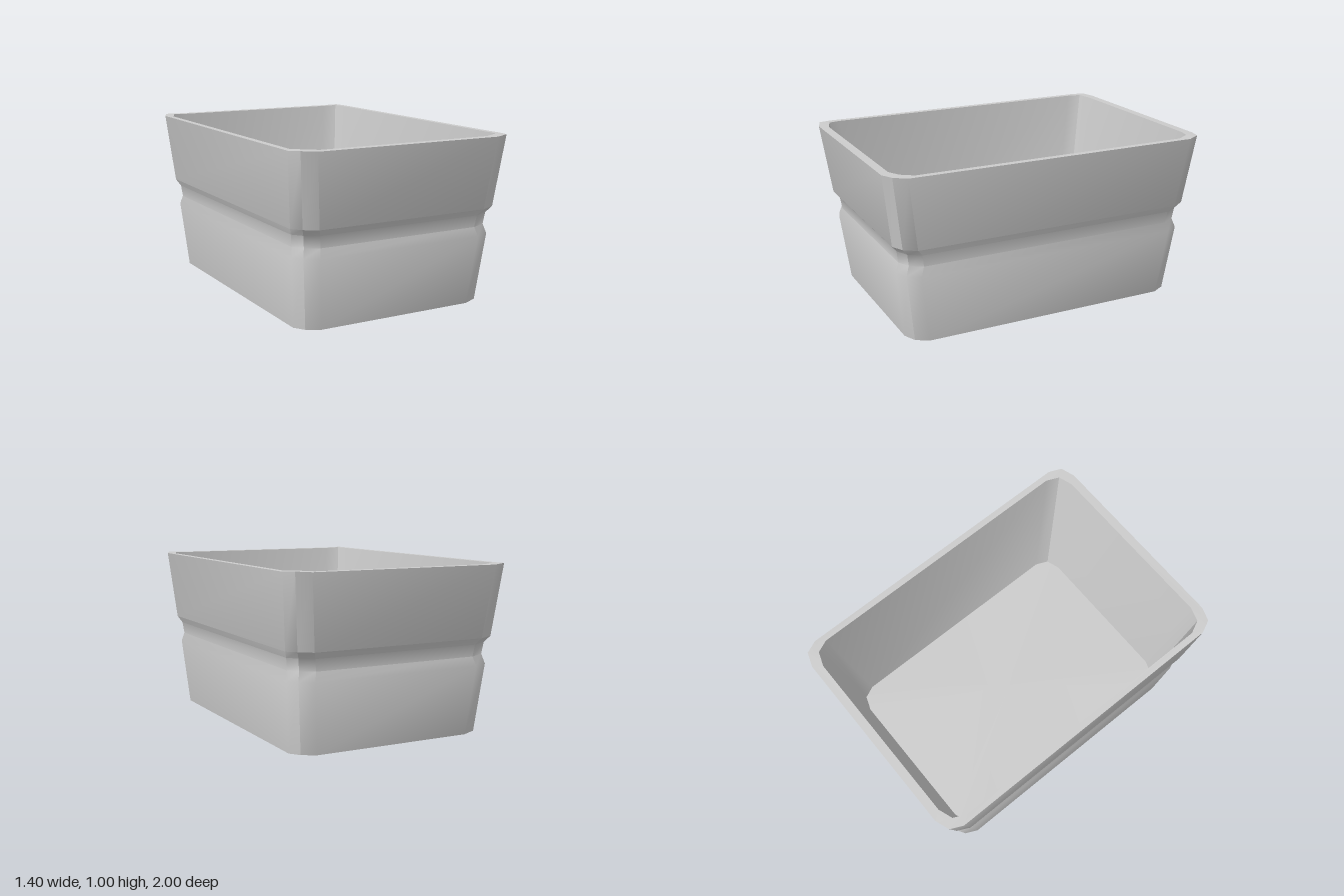
import * as THREE from 'three';
import { toCreasedNormals } from 'three/addons/utils/BufferGeometryUtils.js';

// Twelve-point rounded rectangle, half-width X and half-depth Z, counter-clockwise from above
function ring(X, Z, y) {
  const corner = [[X - 0.12, Z, 0], [X - 0.035, Z - 0.03, 0.005], [X, Z - 0.105, 0]];
  const points = [];
  for (const [sx, sz] of [[1, 1], [1, -1], [-1, -1], [-1, 1]]) {
    const part = corner.map(([x, z, lift]) => [sx * x, y + lift, sz * z]);
    points.push(...(sx * sz > 0 ? part : part.reverse()));
  }
  return points;
}

// Skin consecutive rings and close both ends with a fan
function loft(rings) {
  const n = rings[0].length;
  const positions = rings.flat(2);
  const index = [];
  for (let i = 0; i < rings.length - 1; i++) {
    for (let j = 0; j < n; j++) {
      const a = i * n + j, b = i * n + (j + 1) % n;
      index.push(a, b, b + n, a, b + n, a + n);
    }
  }
  const addCap = (start, y, up) => {
    const centre = positions.length / 3;
    positions.push(0, y, 0);
    for (let j = 0; j < n; j++) {
      const a = start + j, b = start + (j + 1) % n;
      index.push(centre, up ? a : b, up ? b : a);
    }
  };
  addCap(0, rings[0][0][1], false);
  addCap((rings.length - 1) * n, rings[rings.length - 1][0][1], true);
  const geometry = new THREE.BufferGeometry();
  geometry.setAttribute('position', new THREE.Float32BufferAttribute(positions, 3));
  geometry.setIndex(index);
  return toCreasedNormals(geometry, THREE.MathUtils.degToRad(35));
}

export function createModel() {
  const group = new THREE.Group();
  group.name = 'planterBox';

  // [half-width, half-depth, height]: outer wall with groove, rim, inner wall, floor
  const profile = [
    [0.607, 0.87, 0],
    [0.643, 0.92, 0.41],
    [0.63, 0.9, 0.465],
    [0.638, 0.91, 0.535],
    [0.66, 0.943, 0.575],
    [0.7, 1, 1],
    [0.662, 0.948, 1],
    [0.575, 0.823, 0.12],
  ];
  const material = new THREE.MeshStandardMaterial({ color: 0xcccccc });
  const tub = new THREE.Mesh(loft(profile.map((p) => ring(...p))), material);
  tub.name = 'groovedTub';
  group.add(tub);
  return group;
}
